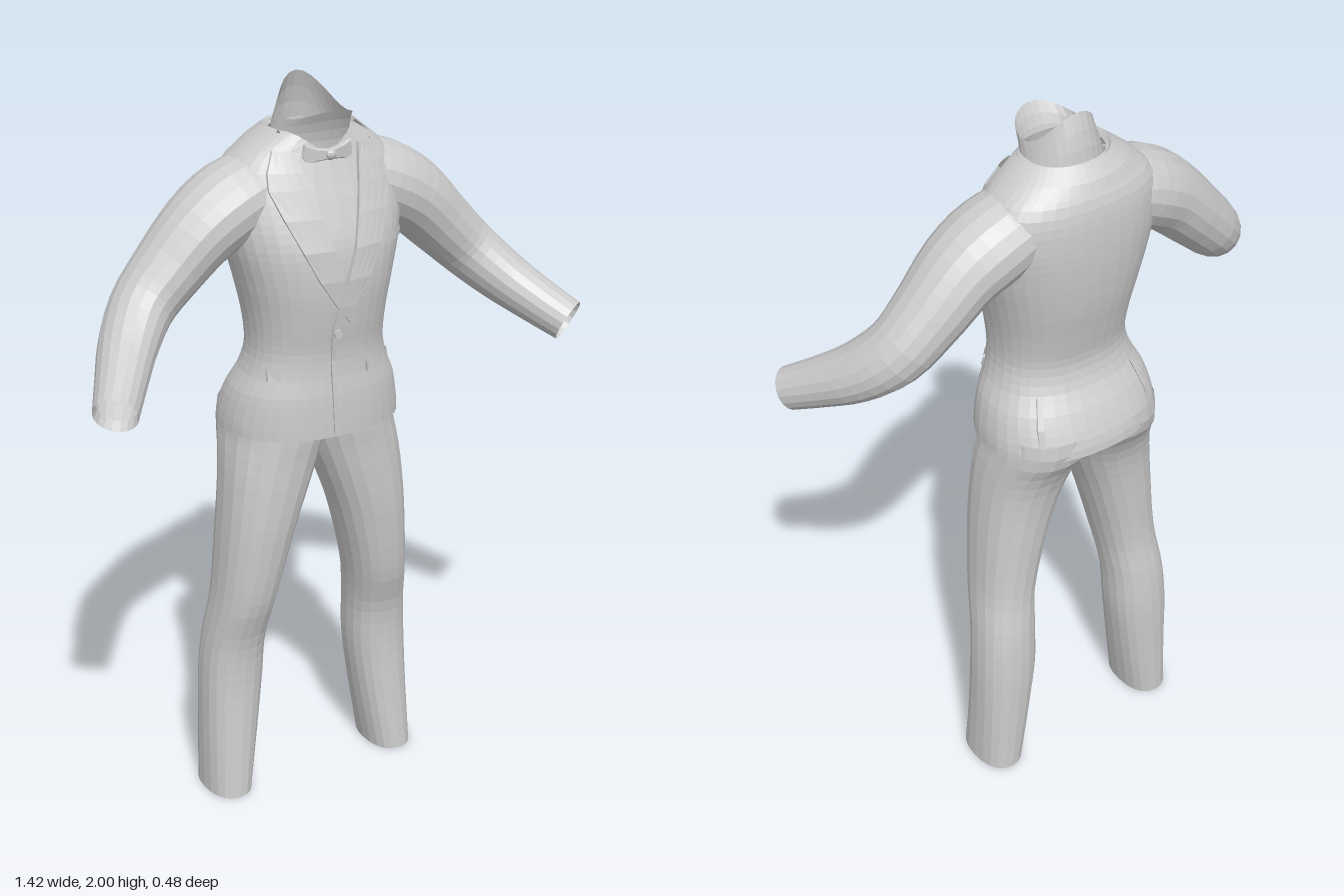
import * as THREE from 'three';

const cloth = new THREE.MeshStandardMaterial({ color: 0xcccccc, flatShading: true, side: THREE.DoubleSide });

// Cross-sections from bottom to top: [y, xMin, xMax, zBack, zFront]
const TORSO = [
  [1.09, -0.248, 0.248, -0.238, 0.138], [1.13, -0.245, 0.245, -0.232, 0.138],
  [1.2, -0.228, 0.228, -0.2, 0.136], [1.26, -0.2, 0.2, -0.165, 0.13],
  [1.32, -0.186, 0.186, -0.152, 0.13], [1.4, -0.19, 0.19, -0.165, 0.142],
  [1.5, -0.21, 0.21, -0.186, 0.152], [1.6, -0.235, 0.235, -0.198, 0.145],
  [1.7, -0.25, 0.25, -0.201, 0.112], [1.78, -0.235, 0.235, -0.194, 0.08],
  [1.83, -0.19, 0.19, -0.174, 0.062], [1.88, -0.105, 0.105, -0.13, 0.052],
];
const LEG = [
  [0, 0.198, 0.325, -0.16, 0.035], [0.2, 0.165, 0.32, -0.164, 0.02],
  [0.35, 0.145, 0.316, -0.165, 0.014], [0.47, 0.14, 0.306, -0.158, 0.024],
  [0.6, 0.123, 0.288, -0.142, 0.062], [0.8, 0.072, 0.272, -0.146, 0.087],
  [0.93, 0.025, 0.26, -0.158, 0.094], [1.01, -0.006, 0.25, -0.182, 0.096],
  [1.08, -0.03, 0.237, -0.222, 0.1], [1.14, -0.04, 0.23, -0.222, 0.1],
];

// Smooth interpolation of a section table at height y
function sectionAt(table, y) {
  let i = 0;
  while (i < table.length - 2 && y > table[i + 1][0]) i++;
  const row = (k) => table[Math.min(Math.max(k, 0), table.length - 1)];
  const [p, a, b, q] = [row(i - 1), row(i), row(i + 1), row(i + 2)];
  const h = b[0] - a[0], u = THREE.MathUtils.clamp((y - a[0]) / h, 0, 1);
  return a.map((v, c) => {
    if (c === 0) return y;
    const m0 = ((b[c] - p[c]) / (b[0] - p[0])) * h;
    const m1 = ((q[c] - v) / (q[0] - a[0])) * h;
    return (2 * u ** 3 - 3 * u * u + 1) * v + (u ** 3 - 2 * u * u + u) * m0
      + (3 * u * u - 2 * u ** 3) * b[c] + (u ** 3 - u * u) * m1;
  });
}

const POWER = 2.3;
const squash = (v) => Math.sign(v) * Math.abs(v) ** (2 / POWER);

function ring([y, x0, x1, z0, z1], sides) {
  return Array.from({ length: sides + 1 }, (_, j) => {
    const t = (j / sides) * Math.PI * 2;
    return new THREE.Vector3((x0 + x1) / 2 + squash(Math.cos(t)) * (x1 - x0) / 2, y,
      (z0 + z1) / 2 + squash(Math.sin(t)) * (z1 - z0) / 2);
  });
}

// Skin a list of equally long point rows
function skin(name, rows) {
  const n = rows[0].length, index = [];
  for (let i = 0; i < rows.length - 1; i++) {
    for (let j = 0; j < n - 1; j++) {
      const a = i * n + j, b = a + 1, d = a + n, c = d + 1;
      index.push(a, d, b, b, d, c);
    }
  }
  const g = new THREE.BufferGeometry().setFromPoints(rows.flat());
  g.setIndex(index);
  g.computeVertexNormals();
  return mesh(name, g);
}

function mesh(name, geometry) {
  const m = new THREE.Mesh(geometry, cloth);
  m.name = name;
  return m;
}

function loft(name, table, steps, sides) {
  const lo = table[0][0], hi = table[table.length - 1][0];
  return skin(name, Array.from({ length: steps + 1 }, (_, i) =>
    ring(sectionAt(table, lo + ((hi - lo) * i) / steps), sides)));
}

// Raised panel lying on the jacket; rows are [y, xFrom, xTo], face 1 = front, -1 = back
function panel(name, rows, face = 1, lift = 0.008) {
  const cols = [0, 0.001, 0.25, 0.5, 0.75, 0.999, 1];
  const points = rows.map(([y, xa, xb]) => cols.map((u) => {
    const [, x0, x1, z0, z1] = sectionAt(TORSO, y);
    const x = xa + (xb - xa) * u;
    const s = Math.min(Math.abs(x) / ((x1 - x0) / 2), 1);
    const depth = (1 - s ** POWER) ** (1 / POWER) * (z1 - z0) / 2;
    const off = u === 0 || u === 1 ? -0.006 : lift;
    return new THREE.Vector3(x, y, (z0 + z1) / 2 + face * (depth + off));
  }));
  if (face * (rows[0][2] - rows[0][1]) > 0) points.forEach((r) => r.reverse());
  return skin(name, points);
}

// Sleeve: oval rings swept from shoulder to cuff
function sleeve() {
  const path = new THREE.CatmullRomCurve3([
    [0.11, 1.745, -0.055], [0.2, 1.712, -0.05], [0.3, 1.655, -0.043], [0.4, 1.56, -0.04],
    [0.48, 1.48, -0.025], [0.55, 1.408, 0.04], [0.61, 1.352, 0.125], [0.662, 1.307, 0.203],
  ].map((p) => new THREE.Vector3(...p)));
  const sizes = [[0, 0.11, 0.09, 0.1, 0.1], [0.15, 0.12, 0.105, 0, 0], [0.32, 0.108, 0.096, 0, 0],
    [0.5, 0.093, 0.085, 0, 0], [0.68, 0.083, 0.075, 0, 0], [0.85, 0.068, 0.065, 0, 0], [1, 0.056, 0.058, 0, 0]];
  const rows = [];
  for (let i = 0; i <= 22; i++) {
    const u = i / 22, c = path.getPointAt(u), t = path.getTangentAt(u);
    const n1 = new THREE.Vector3(0, 0, 1).addScaledVector(t, -t.z).normalize();
    const n2 = n1.clone().cross(t);
    const [, depth, height] = sectionAt(sizes, u);
    rows.push(Array.from({ length: 19 }, (_, j) => {
      const a = (j / 18) * Math.PI * 2;
      return c.clone().addScaledVector(n1, Math.cos(a) * depth).addScaledVector(n2, Math.sin(a) * height);
    }));
  }
  // Cuff turned inward
  const end = path.getPointAt(1), back = path.getTangentAt(1).multiplyScalar(-0.03);
  rows.push(rows[22].map((p) => p.clone().lerp(end, 0.1).add(back)));
  return skin('sleeve', rows);
}

// Band around the neck; each row gives x radius, z radius, z centre and a height rule
function neckBand(name, rows, from, to) {
  return skin(name, rows.map(([rx, rz, cz, height]) => Array.from({ length: 29 }, (_, j) => {
    const t = from + ((to - from) * j) / 28;
    return new THREE.Vector3(Math.cos(t) * rx, height(Math.sin(t)), cz + Math.sin(t) * rz);
  })));
}

function bowTie() {
  const tie = new THREE.Group();
  tie.name = 'bowTie';
  const wing = new THREE.Shape([[0.006, -0.01], [0.035, -0.014], [0.062, -0.024], [0.068, 0],
    [0.062, 0.024], [0.035, 0.014], [0.006, 0.01]].map((p) => new THREE.Vector2(...p)));
  for (const s of [1, -1]) {
    const w = mesh('bowWing', new THREE.ExtrudeGeometry(wing,
      { depth: 0.012, bevelSize: 0.003, bevelThickness: 0.004, bevelSegments: 1 }));
    w.scale.x = s;
    w.rotation.y = s * 0.25;
    tie.add(w);
  }
  const knot = mesh('bowKnot', new THREE.SphereGeometry(0.015, 10, 8));
  knot.position.z = 0.01;
  tie.add(knot);
  tie.position.set(0, 1.825, 0.064);
  return tie;
}

export function createModel() {
  const suit = new THREE.Group();
  suit.name = 'suit';

  // Jacket body, with its hem folded inward
  suit.add(loft('jacketBody', TORSO, 34, 36));
  suit.add(skin('jacketHem', [ring([1.11, -0.228, 0.228, -0.215, 0.1], 36), ring(TORSO[0], 36)]));

  // Paired parts
  for (const s of [1, -1]) {
    const arm = sleeve();
    const leg = loft('trouserLeg', LEG, 30, 20);
    const vent = panel('backVent', [[1.1, 0.165, 0.18], [1.18, 0.16, 0.173], [1.25, 0.14, 0.15]], -1, 0.006);
    const pocket = panel('pocketFlap', [[1.25, 0.08, 0.18], [1.252, 0.08, 0.18], [1.275, 0.08, 0.178],
      [1.277, 0.08, 0.178]]);
    for (const part of [arm, leg, vent, pocket]) {
      part.scale.x = s;
      suit.add(part);
    }
    const lapel = panel('lapel', [[1.4, -0.03, -0.02], [1.45, -0.018, 0.022], [1.52, 0.004, 0.07], [1.6, 0.03, 0.11],
      [1.68, 0.052, 0.145], [1.75, 0.07, 0.17], [1.79, 0.078, 0.165], [1.84, 0.09, 0.14]], 1, s > 0 ? 0.011 : 0.008);
    lapel.scale.x = s;
    suit.add(lapel);
  }

  // Breast pocket, front closing edge and button
  suit.add(panel('breastPocket', [[1.59, 0.085, 0.2], [1.592, 0.085, 0.2], [1.612, 0.08, 0.2], [1.614, 0.08, 0.2]]));
  suit.add(panel('frontEdge', [[1.095, -0.022, -0.008], [1.2, -0.026, -0.014], [1.3, -0.028, -0.018],
    [1.4, -0.03, -0.02]], 1, 0.004));
  const button = mesh('button', new THREE.CylinderGeometry(0.012, 0.012, 0.012, 10));
  button.rotation.x = Math.PI / 2;
  button.position.set(-0.015, 1.375, 0.142);
  suit.add(button);

  // Jacket collar folded over around the back of the neck
  const fold = Math.PI - 0.45;
  suit.add(neckBand('jacketCollar', [
    [0.2, 0.136, -0.053, () => 1.825], [0.165, 0.125, -0.05, () => 1.853],
    [0.122, 0.104, -0.038, () => 1.885], [0.11, 0.094, -0.035, () => 1.87],
  ], fold, Math.PI * 2 + 0.45));

  // Shirt collar, leaning forward with a peak at the back
  const rim = (s) => 1.91 + (s > 0 ? 0.03 : 0.09) * s * s;
  suit.add(neckBand('shirtCollar', [0, 0.25, 0.5, 0.75, 1].map((u) => [
    0.108 - 0.018 * u, 0.096 + 0.004 * u, -0.035 + 0.034 * u * u, (s) => 1.83 + (rim(s) - 1.83) * u,
  ]), 0, Math.PI * 2));
  suit.add(bowTie());
  return suit;
}
